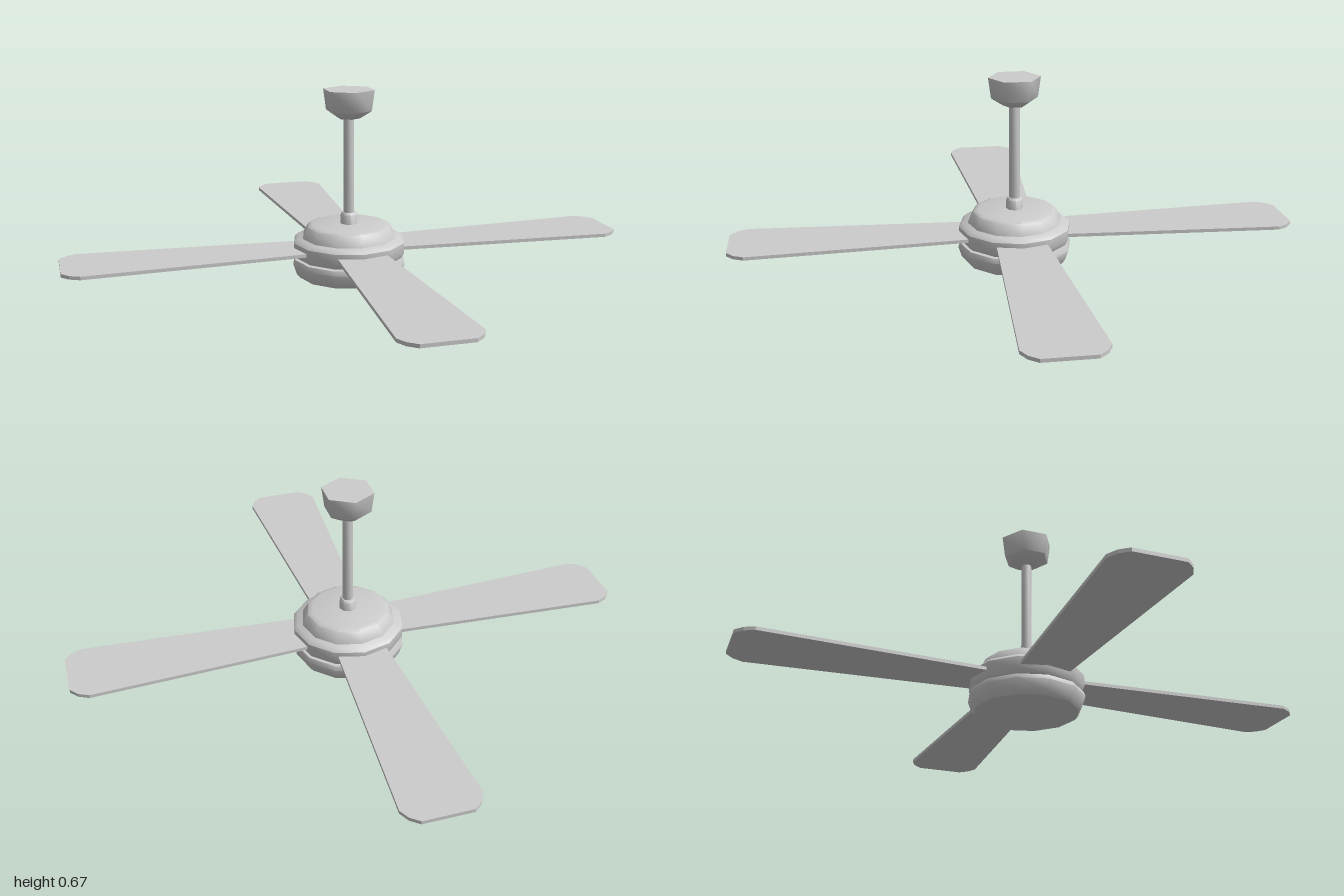
import * as THREE from 'three';
import { toCreasedNormals } from 'three/addons/utils/BufferGeometryUtils.js';

const grey = new THREE.MeshStandardMaterial({ color: 0xcccccc });

function addMesh(parent, name, geometry) {
  const mesh = new THREE.Mesh(geometry, grey);
  mesh.name = name;
  parent.add(mesh);
  return mesh;
}

// Low-poly turned part from [radius, y] pairs, listed bottom to top
function turned(parent, name, sides, profile, crease = 0.8) {
  const points = profile.map(([r, y]) => new THREE.Vector2(r, y));
  const geometry = new THREE.LatheGeometry(points, sides);
  return addMesh(parent, name, toCreasedNormals(geometry, crease));
}

// Flat paddle pointing along +x, widening outward with clipped tip corners
function bladeGeometry() {
  const half = [[0.12, 0.085], [0.2, 0.09], [0.94, 0.133], [0.975, 0.115], [1, 0.085]];
  const outline = [
    ...half.map(([x, w]) => new THREE.Vector2(x, -w)),
    ...half.slice().reverse().map(([x, w]) => new THREE.Vector2(x, w)),
  ];
  const geometry = new THREE.ExtrudeGeometry(new THREE.Shape(outline), {
    depth: 0.012, bevelEnabled: false,
  });
  geometry.rotateX(-Math.PI / 2);
  return geometry;
}

export function createModel() {
  const fan = new THREE.Group();
  fan.name = 'ceilingFan';

  // Ceiling mount and hanging rod
  turned(fan, 'canopy', 6,
    [[0, 0.562], [0.04, 0.565], [0.082, 0.592], [0.092, 0.665], [0, 0.665]], 1.1);
  turned(fan, 'downrod', 8, [[0.019, 0.18], [0.019, 0.58]]);
  turned(fan, 'rodCollar', 8, [[0.03, 0.17], [0.03, 0.222], [0.024, 0.229], [0, 0.229]]);

  // Motor housing: domed cap, blade band and bottom bowl
  const motor = new THREE.Group();
  motor.name = 'motor';
  fan.add(motor);
  turned(motor, 'topCap', 12,
    [[0.17, 0.132], [0.165, 0.15], [0.148, 0.181], [0.13, 0.187], [0, 0.189]]);
  turned(motor, 'bladeBand', 12,
    [[0.165, 0.07], [0.19, 0.073], [0.2, 0.09], [0.2, 0.128], [0.186, 0.141], [0, 0.146]]);
  turned(motor, 'bottomBowl', 12,
    [[0, 0], [0.18, 0.002], [0.191, 0.016], [0.203, 0.052], [0.197, 0.068], [0, 0.071]]);

  // Four blades around the motor
  const blades = new THREE.Group();
  blades.name = 'blades';
  fan.add(blades);
  const geometry = bladeGeometry();
  for (let i = 0; i < 4; i++) {
    const blade = addMesh(blades, 'blade', geometry);
    blade.position.y = 0.1;
    blade.rotation.y = (i * Math.PI) / 2;
  }
  return fan;
}
